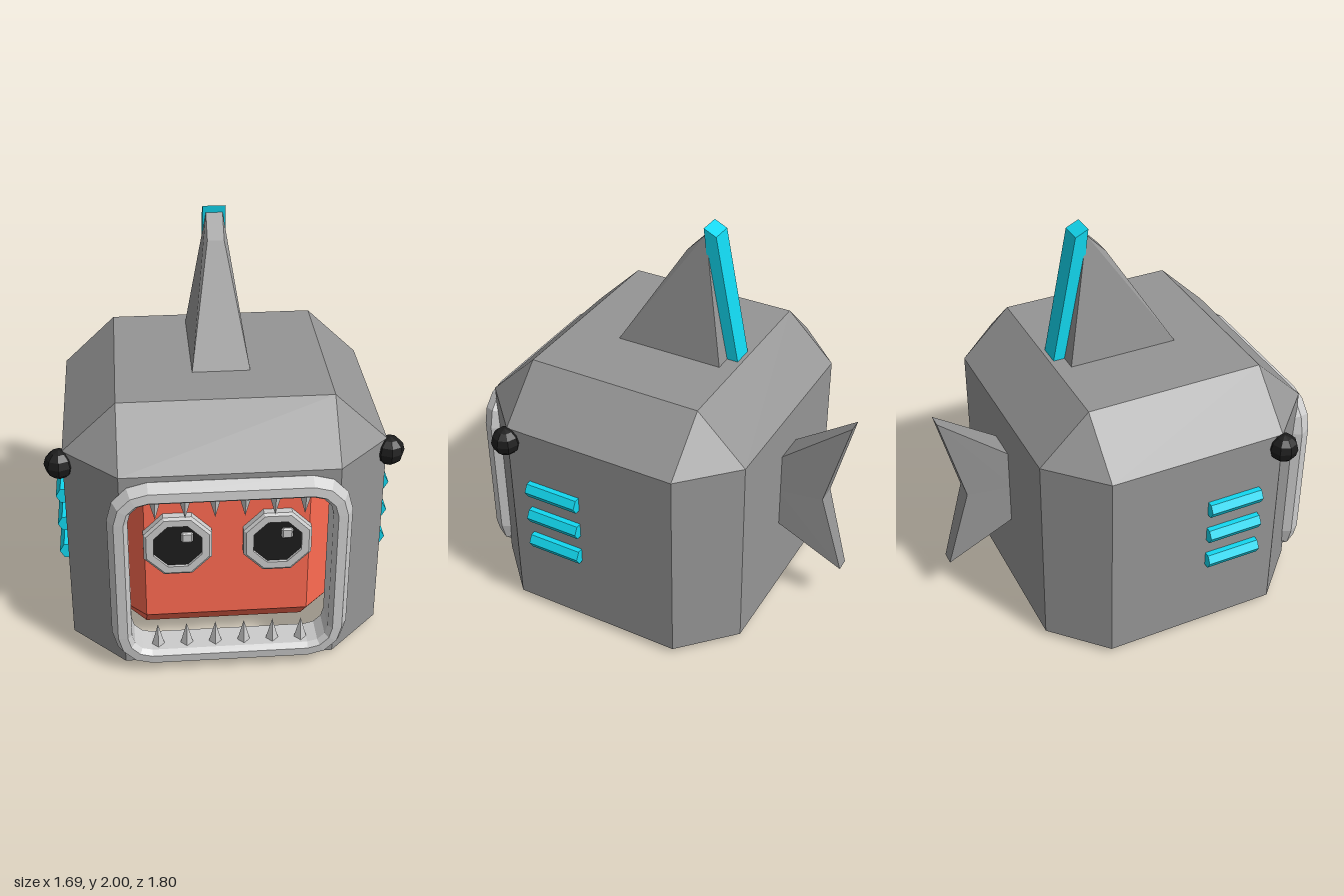
import * as THREE from 'three';
import { ConvexGeometry } from 'three/addons/geometries/ConvexGeometry.js';

const mat = (color, side = THREE.FrontSide) =>
  new THREE.MeshStandardMaterial({ color, flatShading: true, side });
const hideGrey = mat(0x959595);
const lightGrey = mat(0xcccccc);
const cyan = mat(0x12d8f0);
const red = mat(0xff6b52);
const black = mat(0x1c1c1c);

const V = (x, y, z) => new THREE.Vector3(x, y, z);

function add(parent, name, geometry, material, x = 0, y = 0, z = 0) {
  const mesh = new THREE.Mesh(geometry, material);
  mesh.name = name;
  mesh.position.set(x, y, z);
  parent.add(mesh);
  return mesh;
}

// Joins equal-length closed rings of points with quads; extra holds cap quads.
function loft(rings, { closed = false, skip = () => false, extra = [] } = {}) {
  const pos = [];
  const tri = (a, b, c) => {
    if (a.equals(b) || b.equals(c) || a.equals(c)) return;
    for (const p of [a, b, c]) pos.push(p.x, p.y, p.z);
  };
  const quad = (a, b, c, d) => { tri(a, b, c); tri(a, c, d); };
  const spans = closed ? rings.length : rings.length - 1;
  for (let r = 0; r < spans; r++) {
    const lo = rings[r], hi = rings[(r + 1) % rings.length], n = lo.length;
    for (let i = 0; i < n; i++) {
      const k = (i + 1) % n;
      if (!skip(r, i)) quad(lo[i], lo[k], hi[k], hi[i]);
    }
  }
  extra.forEach((q) => quad(...q));
  const g = new THREE.BufferGeometry();
  g.setAttribute('position', new THREE.Float32BufferAttribute(pos, 3));
  g.computeVertexNormals();
  return g;
}

// Convex hull of points mirrored across x
const mirrorHull = (pts) =>
  new ConvexGeometry(pts.flatMap(([x, y, z]) => [V(x, y, z), V(-x, y, z)]));

// Box with all edges chamfered
function chamferBox(X, Y, Z, c) {
  const pts = [];
  for (const i of [-1, 1]) for (const j of [-1, 1]) for (const k of [-1, 1]) {
    pts.push(V(i * X, j * (Y - c), k * (Z - c)));
    pts.push(V(i * (X - c), j * Y, k * (Z - c)));
    pts.push(V(i * (X - c), j * (Y - c), k * Z));
  }
  return new ConvexGeometry(pts);
}

// Rounded rectangle of the mouth, shrunk by an inset, counter-clockwise
function mouthOutline(inset) {
  const hw = 0.565, y0 = 0.03, y1 = 1.06, R = 0.19, r = R - inset, pts = [];
  const centres = [[hw - R, y1 - R], [R - hw, y1 - R], [R - hw, y0 + R], [hw - R, y0 + R]];
  centres.forEach(([cx, cy], q) => {
    for (let s = 0; s <= 3; s++) {
      const a = (q + s / 3) * Math.PI / 2;
      pts.push(new THREE.Vector2(cx + r * Math.cos(a), cy + r * Math.sin(a)));
    }
  });
  return pts;
}

// Octagonal plan of the shell at inset d; the last edge is the front
const ZC = 0.135;
function plan(d, y) {
  const a = 0.505 - d * 0.414, h = 0.76 - d, b = 0.45 - d * 0.414, q = 0.7 - d;
  return [[a, q], [h, b], [h, -b], [a, -q], [-a, -q], [-h, -b], [-h, b], [-a, q]]
    .map(([x, z]) => V(x, y, z + ZC));
}
function roof(d, y) {
  const a = 0.505 - d * 0.414, b = 0.45 - d * 0.414;
  return [[a, b], [a, b], [a, -b], [a, -b], [-a, -b], [-a, -b], [-a, b], [-a, b]]
    .map(([x, z]) => V(x, y, z + ZC));
}

function buildShell(group) {
  const t = 0.07;
  const inTop = roof(t, 1.33 - t), outTop = roof(0, 1.33);
  const rings = [inTop, plan(t, 1.085 - t * 0.414), plan(t, 0.015),
    plan(0, 0.03), plan(0, 1.085), outTop];
  add(group, 'shell', loft(rings, {
    skip: (r, i) => i === 7 && (r === 1 || r === 3),
    extra: [[0, 2, 4, 6].map((i) => outTop[i]), [6, 4, 2, 0].map((i) => inTop[i])],
  }), hideGrey);

  // Front wall with the mouth opening
  const wall = new THREE.Shape([[-0.505, 0.03], [0.505, 0.03], [0.505, 1.085], [-0.505, 1.085]]
    .map(([x, y]) => new THREE.Vector2(x, y)));
  wall.holes.push(new THREE.Path(mouthOutline(0.07).reverse()));
  add(group, 'frontWall', new THREE.ExtrudeGeometry(wall, { depth: t, bevelEnabled: false }),
    hideGrey, 0, 0, 0.835 - t);
}

function buildMouth(group) {
  const section = [[0.06, 0.74], [0.02, 0.8], [0, 0.84], [0.03, 0.895],
    [0.075, 0.9], [0.095, 0.875], [0.095, 0.74]];
  const rings = section.map(([inset, z]) => mouthOutline(inset).map((p) => V(p.x, p.y, z)));
  add(group, 'lip', loft(rings, { closed: true }), lightGrey);

  // Six teeth in each jaw
  const tooth = new THREE.ConeGeometry(0.037, 0.14, 4);
  for (let i = 0; i < 6; i++) {
    const x = (i - 2.5) * 0.138;
    add(group, 'lowerTooth', tooth, lightGrey, x, 0.17, 0.83);
    add(group, 'upperTooth', tooth, lightGrey, x, 0.92, 0.83).rotation.x = Math.PI;
  }
}

function buildFace(group) {
  add(group, 'innerHead', chamferBox(0.575, 0.545, 0.555, 0.18), red, 0, 0.545, 0.125);
  const octagon = (apothem) => Array.from({ length: 8 }, (_, i) => {
    const a = (i + 0.5) * Math.PI / 4, r = apothem / Math.cos(Math.PI / 8);
    return new THREE.Vector2(r * Math.cos(a), r * Math.sin(a));
  });
  const rim = [[0.163, 0], [0.163, 0.04], [0.15, 0.05], [0.115, 0.05], [0.115, 0]]
    .map(([r, z]) => octagon(r).map((p) => V(p.x, p.y, z)));
  const rimGeo = loft(rim, { closed: true });
  const pupilGeo = new THREE.ExtrudeGeometry(new THREE.Shape(octagon(0.118)),
    { depth: 0.035, bevelEnabled: false });
  for (const side of [-1, 1]) {
    const eye = new THREE.Group();
    eye.name = side > 0 ? 'leftEye' : 'rightEye';
    eye.position.set(side * 0.238, 0.615, 0.675);
    add(eye, 'eyeRim', rimGeo, lightGrey);
    add(eye, 'pupil', pupilGeo, black);
    add(eye, 'glint', chamferBox(0.028, 0.028, 0.012, 0.008), lightGrey, 0.045, 0.045, 0.037);
    group.add(eye);
  }
}

function buildFins(group) {
  add(group, 'dorsalFin', mirrorHull([[0.14, 1.32, 0.325], [0.14, 1.32, -0.24],
    [0.04, 1.86, -0.01], [0.04, 1.965, -0.11]]), hideGrey);
  // Bright strip along the rear edge of the dorsal fin
  add(group, 'finStrip', mirrorHull([[0.055, 1.32, -0.232], [0.055, 1.32, -0.297],
    [0.055, 1.87, -0.12], [0.055, 2, -0.105], [0.055, 1.97, -0.17]]), cyan);
  // Tail made of an upper and a lower lobe meeting at the notch
  const lobe = (rootY, tipY) => mirrorHull([[0.085, rootY, -0.55], [0.085, 0.66, -0.55],
    [0.05, 0.66, -0.78], [0.035, tipY, -0.898]]);
  add(group, 'upperTail', lobe(0.86, 1.125), hideGrey);
  add(group, 'lowerTail', lobe(0.455, 0.235), hideGrey);
}

function buildSides(group) {
  const gill = new THREE.CylinderGeometry(0.044, 0.044, 0.28, 6);
  gill.rotateY(Math.PI / 2).rotateX(Math.PI / 2);
  const knob = new THREE.SphereGeometry(0.072, 8, 6);
  for (const side of [-1, 1]) {
    for (const y of [0.765, 0.603, 0.441]) {
      add(group, 'gill', gill, cyan, side * 0.766, y, 0.335);
    }
    add(group, 'sideKnob', knob, black, side * 0.775, 1.02, 0.585);
  }
}

export function createModel() {
  const group = new THREE.Group();
  group.name = 'sharkHelmet';
  [buildShell, buildMouth, buildFace, buildFins, buildSides].forEach((build) => build(group));
  return group;
}
